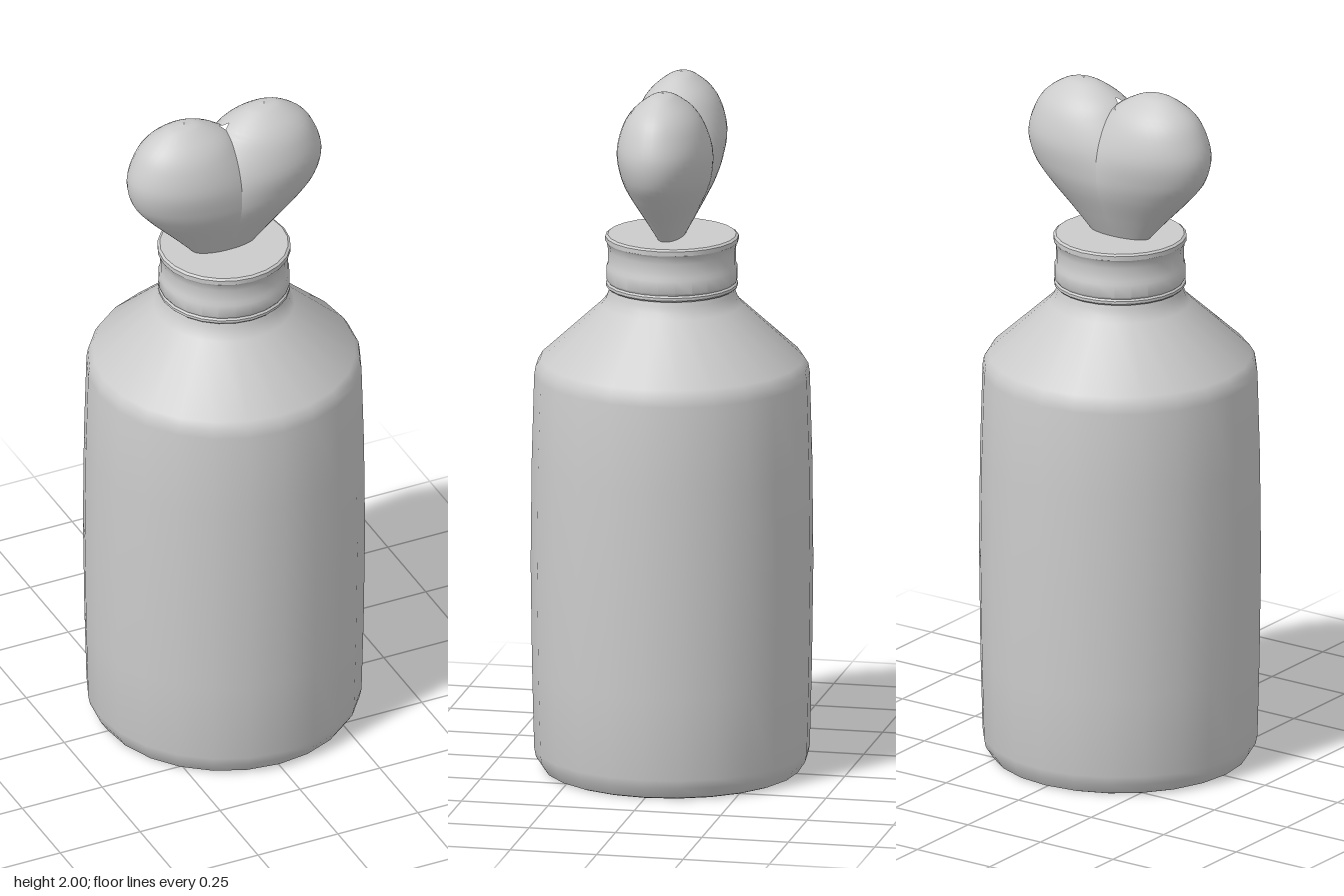
import * as THREE from 'three';
import { toCreasedNormals } from 'three/addons/utils/BufferGeometryUtils.js';
import { ParametricGeometry } from 'three/addons/geometries/ParametricGeometry.js';

const SIDES = 24;

// Revolved part from [radius, height] pairs listed upward on the outside
function lathe(name, profile, material) {
  const points = profile.map(([r, y]) => new THREE.Vector2(r, y));
  const geometry = toCreasedNormals(new THREE.LatheGeometry(points, SIDES), 0.6);
  const mesh = new THREE.Mesh(geometry, material);
  mesh.name = name;
  return mesh;
}

// Horizontal sections of one heart lobe: height, centre x, half width, half depth
const SECTIONS = [
  [2.0, 0.125, 0.002, 0.002],
  [1.99, 0.125, 0.055, 0.036],
  [1.95, 0.12, 0.121, 0.085],
  [1.9, 0.115, 0.16, 0.115],
  [1.83, 0.1, 0.195, 0.132],
  [1.76, 0.07, 0.21, 0.126],
  [1.7, 0.04, 0.195, 0.109],
  [1.62, 0.012, 0.145, 0.07],
  [1.55, 0.001, 0.09, 0.033],
];
const centreCurve = new THREE.CatmullRomCurve3(
  SECTIONS.map(([y, cx]) => new THREE.Vector3(cx, y, 0)), false, 'catmullrom');
const sizeCurve = new THREE.CatmullRomCurve3(
  SECTIONS.map(([, , rx, rz]) => new THREE.Vector3(rx, 0, rz)), false, 'catmullrom');

// One lobe, cut off at the middle plane; side is +1 or -1
function heartLobe(side, material) {
  const centre = new THREE.Vector3(), size = new THREE.Vector3();
  const surface = (u, v, target) => {
    centreCurve.getPoint(v, centre);
    sizeCurve.getPoint(v, size);
    const reach = Math.acos(Math.max(-1, -centre.x / size.x));
    const t = (u * 2 - 1) * reach * side;
    target.set(side * (centre.x + size.x * Math.cos(t)), centre.y, size.z * Math.sin(t));
  };
  const mesh = new THREE.Mesh(new ParametricGeometry(surface, 28, 32), material);
  mesh.name = side > 0 ? 'heartLobeLeft' : 'heartLobeRight';
  return mesh;
}

export function createModel() {
  const model = new THREE.Group();
  model.name = 'heartStopperBottle';
  const grey = new THREE.MeshStandardMaterial({ color: 0xcccccc });

  // Bottle with a shallow dished base, swelling sides and sloped shoulder
  model.add(lathe('bottle', [
    [0, 0.035], [0.2, 0.025], [0.355, 0], [0.365, 0.004], [0.385, 0.035], [0.39, 0.06],
    [0.396, 0.3], [0.4, 0.6], [0.397, 0.9], [0.39, 1.15], [0.386, 1.175], [0.373, 1.196],
    [0.2, 1.355], [0.187, 1.372], [0.18, 1.39], [0.172, 1.42],
  ], grey));

  // Cap with a rolled rim at the top and a band at the bottom
  model.add(lathe('cap', [
    [0.16, 1.404], [0.182, 1.404], [0.187, 1.409], [0.187, 1.417], [0.182, 1.422],
    [0.186, 1.428], [0.186, 1.465], [0.181, 1.475], [0.181, 1.515], [0.184, 1.533],
    [0.189, 1.54], [0.189, 1.553], [0.182, 1.558], [0, 1.558],
  ], grey));

  // Heart-shaped stopper on top
  const heart = new THREE.Group();
  heart.name = 'heart';
  for (const side of [1, -1]) heart.add(heartLobe(side, grey));
  model.add(heart);

  return model;
}
